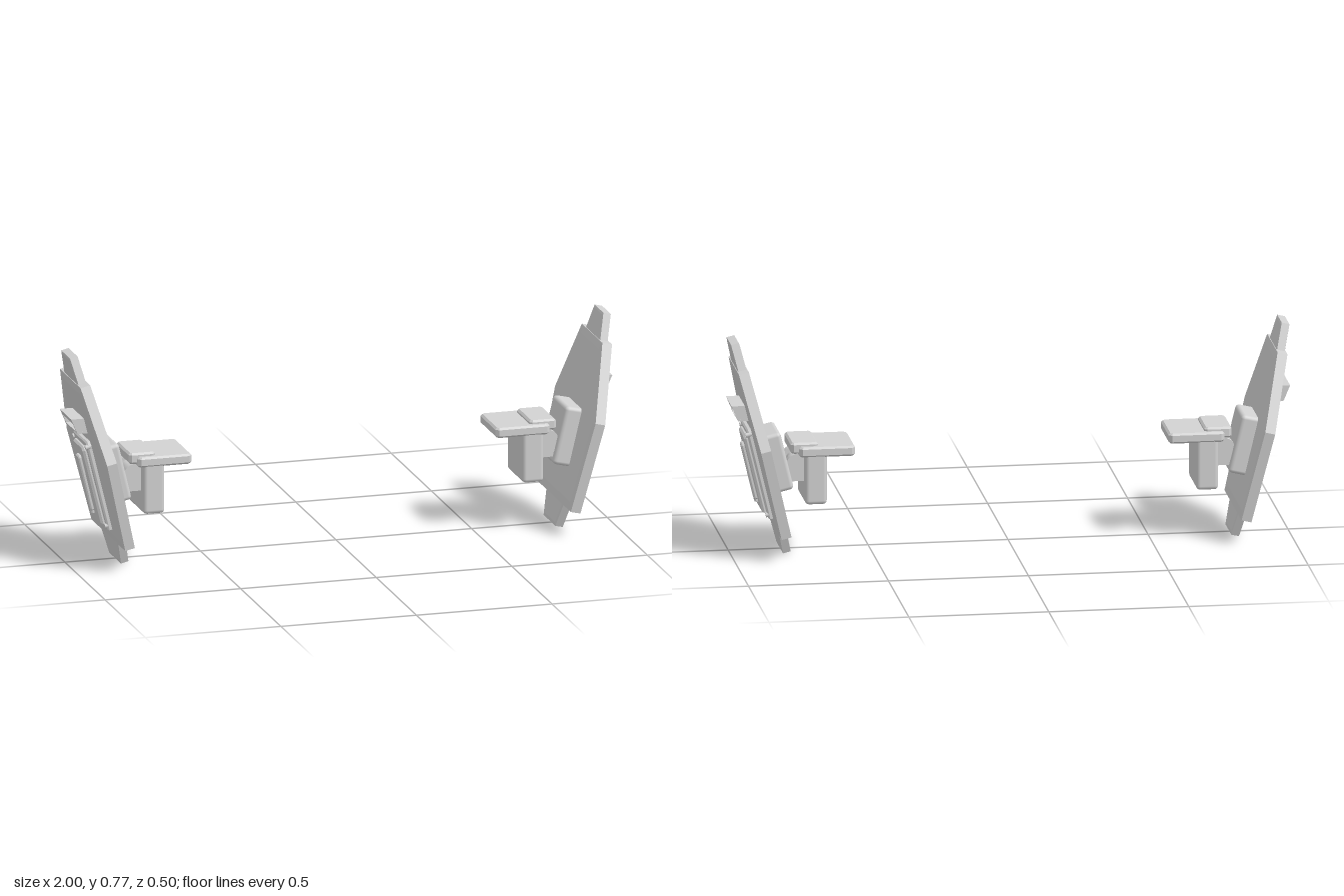
import * as THREE from 'three';
import { RoundedBoxGeometry } from 'three/addons/geometries/RoundedBoxGeometry.js';

const TILT = 0.2348; // outward lean of the shield plate

export function createModel() {
  const model = new THREE.Group();
  model.name = 'shieldPair';
  const grey = new THREE.MeshStandardMaterial({ color: 0xd2d2d2 });
  grey.name = 'light grey';

  const add = (parent, name, geometry, x = 0, y = 0, z = 0) => {
    const mesh = new THREE.Mesh(geometry, grey);
    mesh.name = name;
    mesh.position.set(x, y, z);
    parent.add(mesh);
    return mesh;
  };

  // Flat slab along z from an outline, bevelled on both faces
  const bevelled = (pts, z0, z1, size, rise) => {
    const shape = new THREE.Shape(pts.map(([x, y]) => new THREE.Vector2(x, y)));
    const geo = new THREE.ExtrudeGeometry(shape, {
      depth: z1 - z0 - 2 * rise, bevelEnabled: true, bevelSegments: 1,
      bevelSize: size, bevelOffset: -size, bevelThickness: rise,
    });
    return geo.translate(0, 0, z0 + rise);
  };

  // Symmetric slab facing x, from a half outline of [z, y] points
  const slab = (half, x0, x1, size, rise) => {
    const mirrored = half.slice().reverse().map(([z, y]) => [-z, y]);
    return bevelled([...half, ...mirrored], x0, x1, size, rise).rotateY(Math.PI / 2);
  };

  // Level plate with clipped corners in plan
  const level = (x0, x1, y0, y1, halfZ, clip) => bevelled([
    [x0 + clip, -halfZ], [x1 - clip, -halfZ], [x1, clip - halfZ], [x1, halfZ - clip],
    [x1 - clip, halfZ], [x0 + clip, halfZ], [x0, halfZ - clip], [x0, clip - halfZ],
  ], y0, y1, 0.007, 0.007).rotateX(-Math.PI / 2);

  // Prism along z from an [x, y] profile
  const prism = (profile, width) => {
    const shape = new THREE.Shape(profile.map(([x, y]) => new THREE.Vector2(x, y)));
    const geo = new THREE.ExtrudeGeometry(shape, { depth: width, bevelEnabled: false });
    return geo.translate(0, 0, -width / 2);
  };

  const rounded = (x0, x1, y0, y1, depth, r) => {
    const geo = new RoundedBoxGeometry(x1 - x0, y1 - y0, depth, 2, r);
    return geo.translate((x0 + x1) / 2, (y0 + y1) / 2, 0);
  };

  const barrel = (r, width) => new THREE.CylinderGeometry(r, r, width, 24).rotateX(Math.PI / 2);

  function buildSide(name) {
    const side = new THREE.Group();
    side.name = name;

    // Leaning shield plate with its tabs
    const shield = new THREE.Group();
    shield.name = 'shield';
    shield.position.x = 0.80;
    shield.rotation.z = -TILT;
    side.add(shield);
    add(shield, 'mainPlate',
      slab([[0.21, 0.093], [0.252, 0.432], [0.128, 0.698]], -0.02, 0.02, 0.03, 0.0018));
    add(shield, 'topTab',
      slab([[0.10, 0.66], [0.088, 0.698], [0.055, 0.79]], -0.016, 0.016, 0.008, 0.002));
    add(shield, 'bottomTab',
      slab([[0.073, 0.004], [0.107, 0.093], [0.107, 0.12]], -0.016, 0.016, 0.012, 0.002));

    // Raised outer panel, stepped in three layers
    add(shield, 'panelFrame',
      slab([[0.095, 0.144], [0.086, 0.465], [0.078, 0.48]], 0.01, 0.036, 0.004, 0.006));
    add(shield, 'panelBody',
      slab([[0.074, 0.166], [0.062, 0.445], [0.052, 0.46]], 0.02, 0.05, 0.005, 0.008));
    add(shield, 'panelBar',
      slab([[0.014, 0.195], [0.014, 0.206], [0.018, 0.21], [0.018, 0.408], [0.014, 0.418]],
        0.03, 0.062, 0.003, 0.005));
    for (const s of [-1, 1]) {
      for (const [z, y] of [[0.085, 0.161], [0.079, 0.461]]) {
        const bolt = new THREE.CylinderGeometry(0.009, 0.009, 0.02, 10).rotateZ(Math.PI / 2);
        add(shield, 'panelBolt', bolt, 0.032, y, s * z);
      }
    }

    // Inner mounting pad
    add(shield, 'mountPad', rounded(-0.079, -0.01, 0.225, 0.44, 0.172, 0.014));

    // Viewing slot hood: open frame of four walls
    const hood = new THREE.Group();
    hood.name = 'slotHood';
    side.add(hood);
    add(hood, 'hoodTop',
      prism([[0.93, 0.526], [0.989, 0.526], [0.998, 0.545], [0.93, 0.545]], 0.144));
    add(hood, 'hoodBottom',
      prism([[0.925, 0.49], [0.975, 0.49], [0.978, 0.497], [0.925, 0.497]], 0.144));
    for (const s of [-1, 1]) {
      add(hood, 'hoodSide',
        prism([[0.925, 0.491], [0.975, 0.491], [0.997, 0.544], [0.93, 0.544]], 0.009), 0, 0, s * 0.0673);
    }

    // Hinge between pad and arm block
    const hinge = new THREE.Group();
    hinge.name = 'hinge';
    side.add(hinge);
    add(hinge, 'hingeBarrel', barrel(0.034, 0.11), 0.755, 0.315);
    for (const s of [-1, 1]) {
      add(hinge, 'hingeLug', barrel(0.046, 0.028), 0.758, 0.315, s * 0.05);
      add(hinge, 'hingeArm', new THREE.BoxGeometry(0.08, 0.03, 0.024), 0.762, 0.275, s * 0.05);
    }

    // Arm bracket: upright block, flat shelf and cap
    const bracket = new THREE.Group();
    bracket.name = 'armBracket';
    side.add(bracket);
    add(bracket, 'bracketBlock', rounded(0.66, 0.738, 0.18, 0.375, 0.2, 0.014));
    add(bracket, 'bracketShelf', level(0.56, 0.76, 0.355, 0.392, 0.105, 0.012));
    add(bracket, 'bracketCap', level(0.69, 0.788, 0.365, 0.405, 0.086, 0.01));
    return side;
  }

  // Each side is symmetric front to back, so a half turn mirrors it
  const left = buildSide('leftShield');
  const right = buildSide('rightShield');
  right.rotation.y = Math.PI;
  model.add(left, right);
  return model;
}
